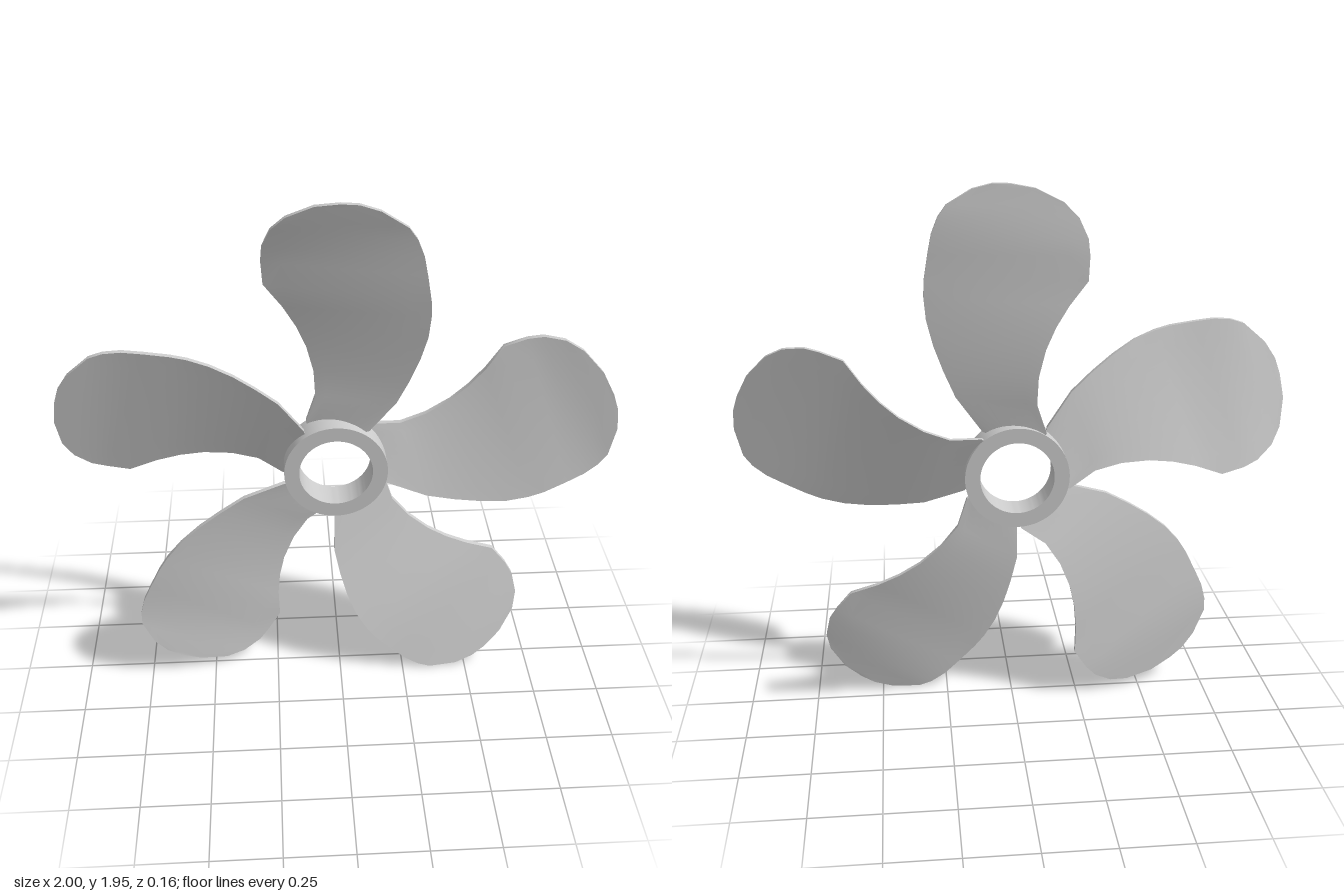
import * as THREE from 'three';
import { toCreasedNormals } from 'three/addons/utils/BufferGeometryUtils.js';

const HUB = { x: -0.015, y: 0.925, outer: 0.19, inner: 0.135, back: -0.08, front: 0.035 };
const BLADES = 5;
const HALF_THICKNESS = 0.01;
const COLUMNS = 8;

// Blade stations from root to tip, relative to the hub axis:
// concave trailing edge x, y, z, then convex leading edge x, y, z
const STATIONS = [
  [-0.09, 0.135, -0.065, 0.08, 0.14, -0.01],
  [-0.105, 0.168, -0.065, 0.122, 0.16, 0.0],
  [-0.07, 0.275, -0.065, 0.215, 0.285, 0.02],
  [-0.075, 0.375, -0.065, 0.257, 0.38, 0.035],
  [-0.1, 0.475, -0.065, 0.29, 0.47, 0.047],
  [-0.135, 0.555, -0.065, 0.313, 0.56, 0.06],
  [-0.18, 0.63, -0.065, 0.32, 0.64, 0.066],
  [-0.245, 0.715, -0.065, 0.317, 0.7, 0.07],
  [-0.25, 0.8, -0.058, 0.302, 0.79, 0.07],
  [-0.245, 0.857, -0.045, 0.288, 0.86, 0.07],
  [-0.215, 0.925, -0.025, 0.265, 0.918, 0.07],
  [-0.165, 0.975, -0.003, 0.235, 0.96, 0.07],
  [-0.07, 1.02, 0.022, 0.145, 1.015, 0.064],
  [0.015, 1.034, 0.042, 0.075, 1.034, 0.053],
];

function bladeGeometry() {
  const rows = STATIONS.length, cols = COLUMNS + 1, layer = rows * cols;
  const positions = [], index = [];
  // Front layer of points, then the back layer
  for (const offset of [HALF_THICKNESS, -HALF_THICKNESS]) {
    for (const [ax, ay, az, bx, by, bz] of STATIONS) {
      for (let j = 0; j < cols; j++) {
        const t = j / COLUMNS;
        positions.push(ax + (bx - ax) * t, ay + (by - ay) * t, az + (bz - az) * t + offset);
      }
    }
  }
  const quad = (a, b, c, d) => index.push(a, b, c, a, c, d);
  // Front and back faces
  for (let i = 0; i < rows - 1; i++) {
    for (let j = 0; j < COLUMNS; j++) {
      const a = i * cols + j, b = a + 1, c = b + cols, d = a + cols;
      quad(a, b, c, d);
      quad(layer + a, layer + d, layer + c, layer + b);
    }
  }
  // Rim: up the leading edge, over the tip, down the trailing edge
  const rim = [];
  for (let i = 0; i < rows; i++) rim.push(i * cols + COLUMNS);
  for (let j = COLUMNS - 1; j >= 0; j--) rim.push((rows - 1) * cols + j);
  for (let i = rows - 2; i >= 0; i--) rim.push(i * cols);
  for (let k = 0; k < rim.length - 1; k++) {
    const p = rim[k], q = rim[k + 1];
    quad(layer + p, layer + q, q, p);
  }
  const geometry = new THREE.BufferGeometry();
  geometry.setAttribute('position', new THREE.Float32BufferAttribute(positions, 3));
  geometry.setIndex(index);
  return toCreasedNormals(geometry, 0.6);
}

function hubGeometry() {
  const ring = new THREE.Shape().absarc(0, 0, HUB.outer, 0, Math.PI * 2, false);
  ring.holes.push(new THREE.Path().absarc(0, 0, HUB.inner, 0, Math.PI * 2, true));
  const geometry = new THREE.ExtrudeGeometry(ring, {
    depth: HUB.front - HUB.back, bevelEnabled: false, curveSegments: 48,
  });
  geometry.translate(0, 0, HUB.back);
  return toCreasedNormals(geometry, 0.6);
}

export function createModel() {
  const model = new THREE.Group();
  model.name = 'propeller';
  const material = new THREE.MeshStandardMaterial({ color: 0xcccccc });

  const rotor = new THREE.Group();
  rotor.name = 'rotor';
  rotor.position.set(HUB.x, HUB.y, 0);
  model.add(rotor);

  // Hub ring
  const hub = new THREE.Mesh(hubGeometry(), material);
  hub.name = 'hub';
  rotor.add(hub);

  // Five equal blades around the hub
  const geometry = bladeGeometry();
  for (let i = 0; i < BLADES; i++) {
    const blade = new THREE.Mesh(geometry, material);
    blade.name = `blade${i + 1}`;
    blade.rotation.z = -i * Math.PI * 2 / BLADES;
    rotor.add(blade);
  }
  return model;
}
